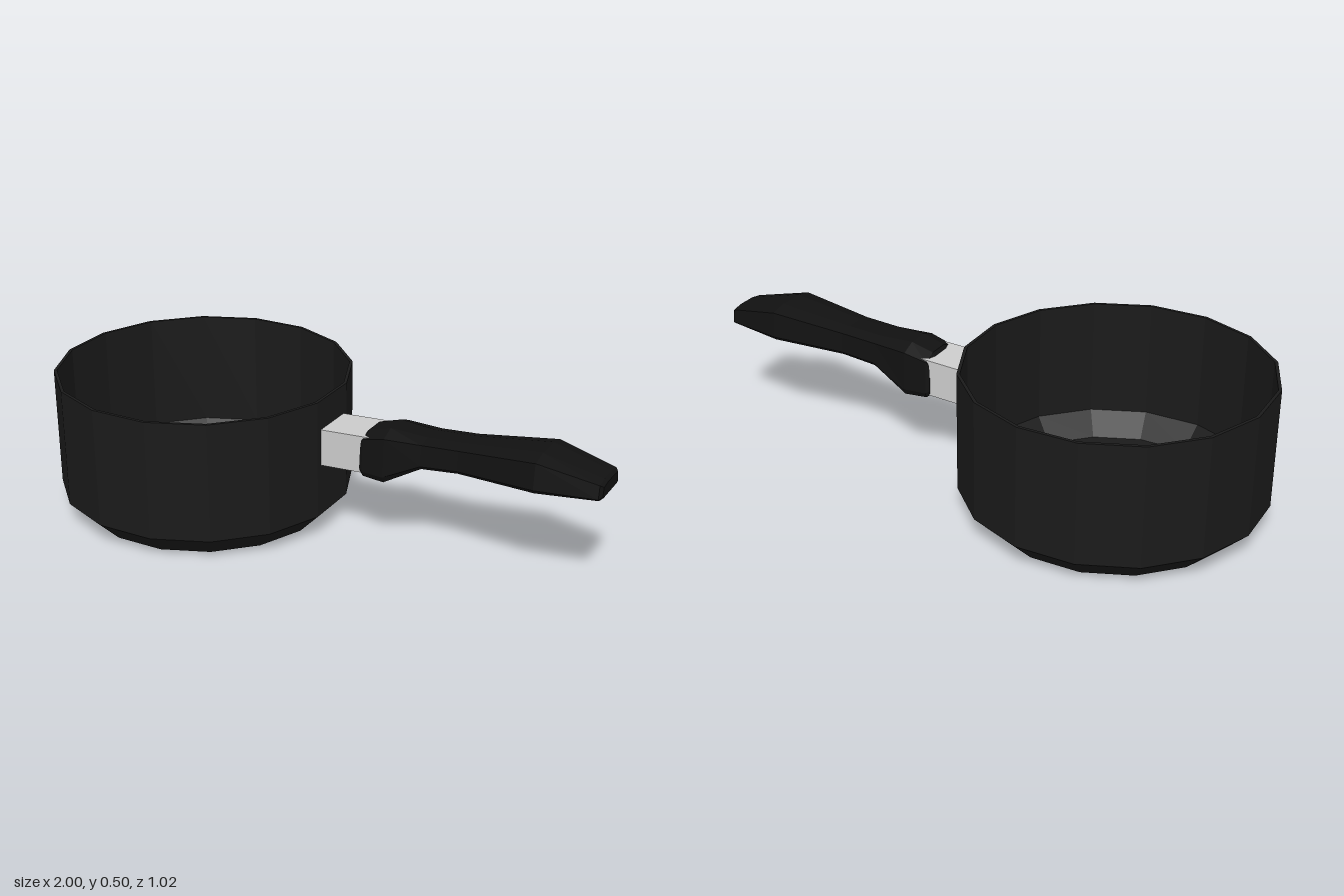
import * as THREE from 'three';

const material = (color) => new THREE.MeshStandardMaterial({ color, flatShading: true });

// Lofts equal-sized rings of points into a closed, faceted solid
function loft(rings) {
  const n = rings[0].length;
  const position = rings.flat(2);
  const index = [];
  for (let r = 0; r < rings.length - 1; r++) {
    for (let i = 0; i < n; i++) {
      const a = r * n + i, b = r * n + (i + 1) % n;
      index.push(a, b, b + n, a, b + n, a + n);
    }
  }
  const last = (rings.length - 1) * n;
  for (let i = 1; i < n - 1; i++) {
    index.push(0, i + 1, i, last, last + i, last + i + 1);
  }
  const indexed = new THREE.BufferGeometry();
  indexed.setAttribute('position', new THREE.Float32BufferAttribute(position, 3));
  indexed.setIndex(index);
  const geometry = indexed.toNonIndexed();
  geometry.computeVertexNormals();
  return geometry;
}

// Eight-sided handle section at x, from y0 to y1, with half width w
function handleSection([x, y0, y1, w]) {
  const h = y1 - y0;
  const half = [[0.9, 0], [1, 0.12], [0.92, 0.88], [0.4, 1]];
  const right = half.map(([s, t]) => [x, y0 + t * h, -s * w]);
  const left = half.map(([s, t]) => [x, y0 + t * h, s * w]).reverse();
  return [...right, ...left];
}

export function createModel() {
  const model = new THREE.Group();
  const add = (name, geometry, mat) => {
    const mesh = new THREE.Mesh(geometry, mat);
    mesh.name = name;
    model.add(mesh);
    return mesh;
  };

  // Thin-walled pan with a bevelled base, sixteen flat sides
  const profile = [
    [0, 0], [0.44, 0], [0.52, 0.08], [0.52, 0.5],
    [0.509, 0.5], [0.509, 0.084], [0.434, 0.01], [0, 0.01],
  ].map(([r, y]) => new THREE.Vector2(r, y));
  const panMaterial = material(0x1a1a1a);
  panMaterial.side = THREE.DoubleSide;
  const pan = add('pan', new THREE.LatheGeometry(profile, 16, Math.PI / 16), panMaterial);
  pan.position.x = -0.49;

  // Metal bracket between pan and handle
  const bracketSection = (x, y0, y1, w) => [[x, y0, -w], [x, y1, -w], [x, y1, w], [x, y0, w]];
  add('bracket', loft([
    bracketSection(0.012, 0.265, 0.395, 0.08),
    bracketSection(0.2, 0.275, 0.405, 0.08),
  ]), material(0xcccccc));

  // Shaped grip: x, bottom, top, half width
  const sections = [
    [0.168, 0.275, 0.4, 0.085],
    [0.18, 0.265, 0.415, 0.092],
    [0.26, 0.262, 0.438, 0.1],
    [0.39, 0.335, 0.43, 0.086],
    [0.52, 0.348, 0.438, 0.086],
    [0.79, 0.354, 0.47, 0.115],
    [0.99, 0.362, 0.422, 0.082],
    [1.0, 0.37, 0.412, 0.07],
  ];
  add('handle', loft(sections.map(handleSection)), material(0x111111));

  return model;
}
